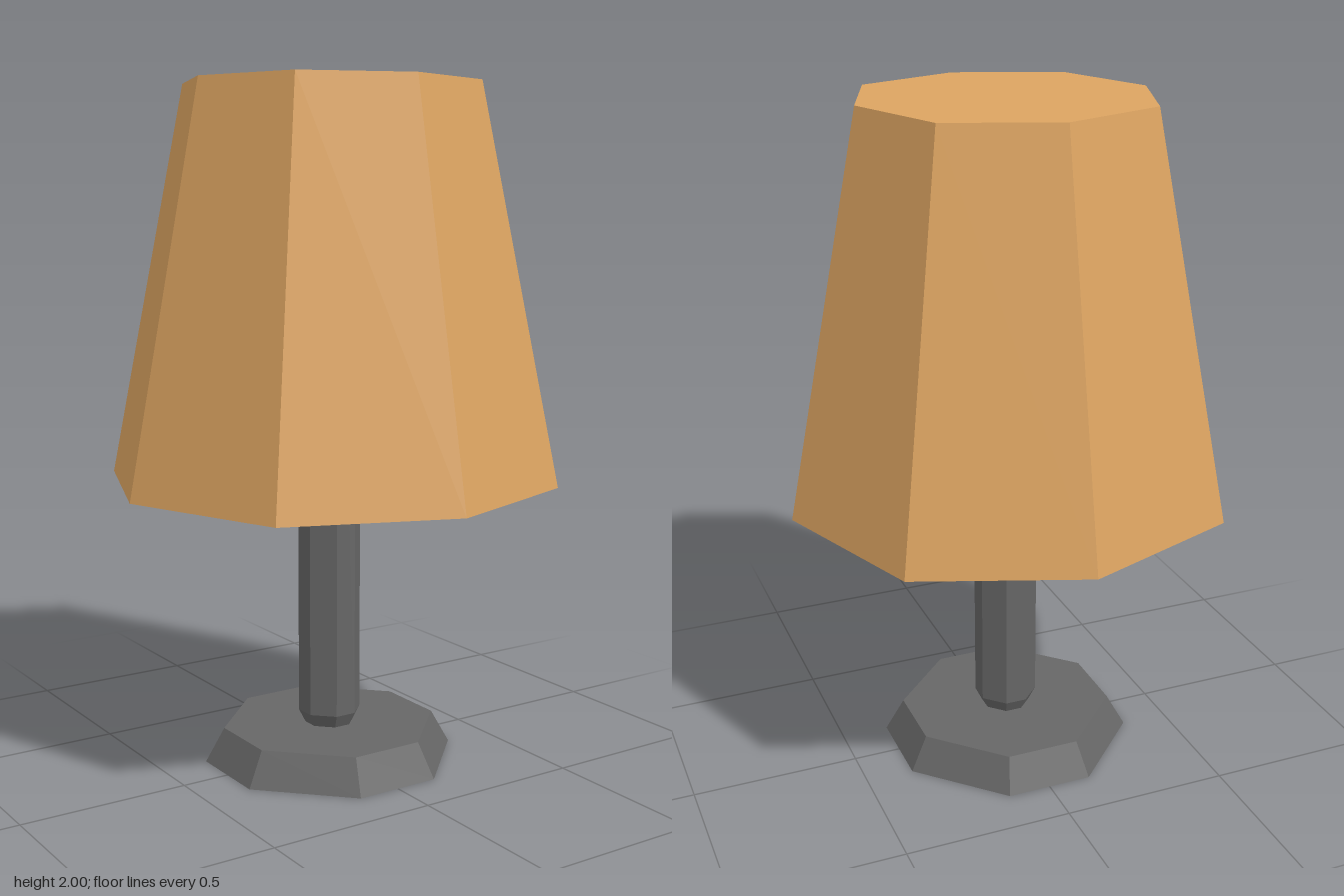
import * as THREE from 'three';

const shadeMat = new THREE.MeshStandardMaterial({ color: 0xdca461 });
shadeMat.name = 'tan shade';
const metalMat = new THREE.MeshStandardMaterial({ color: 0x666666 });
metalMat.name = 'dark grey metal';
shadeMat.flatShading = metalMat.flatShading = true;

// Repeat two neighbouring corners [x, z] in quarter turns to make an octagon
function octagon(first, second) {
  const corners = [];
  let pair = [first, second];
  for (let i = 0; i < 4; i++) {
    corners.push(...pair);
    pair = pair.map(([x, z]) => [z, -x]);
  }
  return corners;
}

// Lathe a [radius, y] profile, then fit its eight sides to the octagon corners
function octagonalPart(name, profile, corners, material) {
  const points = profile.map(([r, y]) => new THREE.Vector2(r, y));
  const lathe = new THREE.LatheGeometry(points, 8);
  const pos = lathe.attributes.position;
  for (let i = 0; i < pos.count; i++) {
    const [cx, cz] = corners[Math.floor(i / profile.length) % 8];
    const r = profile[i % profile.length][0];
    pos.setX(i, r * cx);
    pos.setZ(i, r * cz);
  }
  const geometry = lathe.toNonIndexed();
  geometry.computeVertexNormals();
  const mesh = new THREE.Mesh(geometry, material);
  mesh.name = name;
  return mesh;
}

export function createModel() {
  const lamp = new THREE.Group();
  lamp.name = 'tableLamp';
  const cornerForward = octagon([0, 1], [0.728, 0.728]);
  const sideForward = octagon([0.36, 1], [1, 0.36]);

  // Bevelled foot
  lamp.add(octagonalPart('base',
    [[0, 0], [0.358, 0], [0.305, 0.1], [0, 0.1]], sideForward, metalMat));

  // Post, tapered where it meets the foot
  lamp.add(octagonalPart('stem',
    [[0, 0.09], [0.07, 0.1], [0.089, 0.14], [0.089, 1.91], [0, 1.91]], sideForward, metalMat));

  // Thick hollow shade with a closed top
  lamp.add(octagonalPart('lampshade',
    [[0, 1.9], [0.36, 1.9], [0.565, 0.845], [0.654, 0.845], [0.425, 2], [0, 2]],
    cornerForward, shadeMat));

  return lamp;
}
